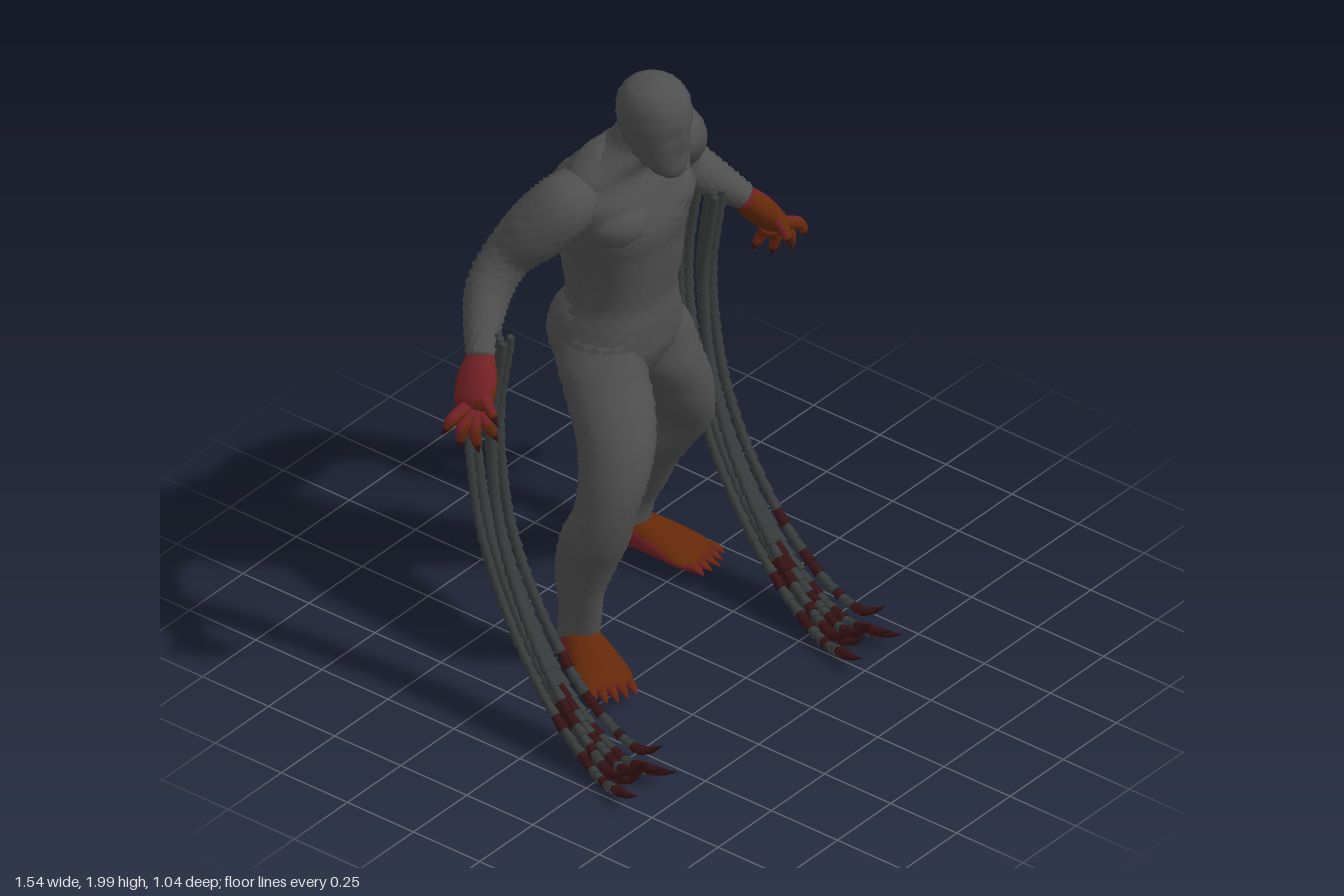
import * as THREE from 'three';
import { mergeGeometries } from 'three/addons/utils/BufferGeometryUtils.js';

const mat = (name, color) => {
  const m = new THREE.MeshStandardMaterial({ color });
  m.name = name;
  return m;
};
const V = (x, y, z) => new THREE.Vector3(x, y, z);
const bell = (v, centre, width) => Math.exp(-(((v - centre) / width) ** 2));

// Skin over rows of [x, y, z, halfWidth, halfDepth]; flat keeps the rings level.
function loft(rows, { flat = false, ref = V(0, 0, -1), sides = 30, step = 0.012, ridge = 0.006, shape, rule } = {}) {
  const path = new THREE.CatmullRomCurve3(rows.map(r => V(r[0], r[1], r[2])));
  const radii = new THREE.CatmullRomCurve3(rows.map(r => V(r[3], r[4], 0)));
  const n = Math.max(6, Math.round(path.getLength() / step));
  const pos = [], idx = [];
  for (let j = 0; j <= n; j++) {
    const t = j / n, c = path.getPoint(t), r = radii.getPoint(t);
    const up = flat ? V(0, 1, 0) : path.getTangent(t);
    const X = ref.clone().cross(up).normalize(), Z = X.clone().cross(up);
    for (let i = 0; i < sides; i++) {
      const a = i / sides * Math.PI * 2;
      const d = (j % 2 ? ridge : -ridge) * (0.55 + 0.45 * Math.sin(i * 3.1 + j * 1.7));
      const k = shape ? shape(a, c.y) : 1;
      const p = c.clone().addScaledVector(X, Math.cos(a) * (Math.max(r.x, 0.001) * k + d))
        .addScaledVector(Z, Math.sin(a) * (Math.max(r.y, 0.001) * k + d));
      pos.push(p.x, p.y, p.z);
    }
  }
  for (let j = 0; j < n; j++) for (let i = 0; i < sides; i++) {
    const a = j * sides + i, b = j * sides + (i + 1) % sides;
    idx.push(a, a + sides, b, b, a + sides, b + sides);
  }
  const first = rows[0], last = rows[rows.length - 1], c0 = pos.length / 3;
  pos.push(first[0], first[1], first[2], last[0], last[1], last[2]);
  for (let i = 0; i < sides; i++) {
    const k = (i + 1) % sides;
    idx.push(c0, i, k, c0 + 1, n * sides + k, n * sides + i);
  }
  const g = new THREE.BufferGeometry();
  g.setAttribute('position', new THREE.Float32BufferAttribute(pos, 3));
  g.setIndex(idx);
  g.computeVertexNormals();
  if (rule) { // split the faces between two materials by their direction
    const lists = [[], []], N = g.attributes.normal;
    for (let f = 0; f < idx.length; f += 3) {
      const nn = V(0, 0, 0);
      for (let k = 0; k < 3; k++) nn.add(V(0, 0, 0).fromBufferAttribute(N, idx[f + k]));
      lists[rule(nn.normalize()) ? 1 : 0].push(idx[f], idx[f + 1], idx[f + 2]);
    }
    g.setIndex([...lists[0], ...lists[1]]);
    g.addGroup(0, lists[0].length, 0);
    g.addGroup(lists[0].length, lists[1].length, 1);
  }
  return g;
}

export function createModel() {
  const root = new THREE.Group();
  root.name = 'figure';
  const skin = mat('charcoal skin', 0x4f4f4f);
  const red = mat('dull red', 0x732124);
  const rust = mat('rust brown', 0x632809);
  const steel = mat('strand grey', 0x383b3b);
  const blood = mat('dark red', 0x361315);
  const add = (name, geo, m, parent = root) => {
    const o = new THREE.Mesh(geo, m);
    o.name = name;
    parent.add(o);
    return o;
  };
  const muscle = (name, x, y, z, rx, ry, rz, tilt = 0) => {
    const rows = [-1, -0.85, -0.5, 0, 0.5, 0.85, 1].map(s => {
      const k = Math.sqrt(1 - s * s);
      return [0, s * ry, 0, rx * k, rz * k];
    });
    const o = add(name, loft(rows, { flat: true, sides: 24, ridge: 0.004 }), skin);
    o.position.set(x, y, z);
    o.rotation.z = tilt;
  };

  // Torso: square chest, tapering upper back, spine groove and chest line
  add('torso', loft([
    [0.01, 0.92, -0.23, 0.08, 0.09], [0.015, 0.97, -0.24, 0.18, 0.13], [0.015, 1.03, -0.25, 0.215, 0.16],
    [0.015, 1.12, -0.248, 0.19, 0.16], [0.018, 1.2, -0.238, 0.17, 0.145], [0.018, 1.3, -0.235, 0.18, 0.158],
    [0.005, 1.4, -0.235, 0.195, 0.172], [0, 1.45, -0.233, 0.207, 0.182], [0, 1.5, -0.235, 0.22, 0.187],
    [0, 1.6, -0.237, 0.25, 0.157], [0, 1.67, -0.222, 0.215, 0.115], [0, 1.72, -0.188, 0.155, 0.098],
    [0, 1.765, -0.155, 0.1, 0.085], [-0.005, 1.82, -0.125, 0.075, 0.072],
  ], {
    flat: true, sides: 44, shape: (a, y) => {
      const square = Math.sin(a) > 0 ? 0.07 : y > 1.35 ? -0.04 : 0.05;
      const sq = 1 + square * (1 - Math.cos(4 * a)) / 2;
      const back = bell(a, Math.PI * 1.5, 0.2), chest = bell(a, Math.PI * 0.5, 0.15);
      return sq - (y < 1.7 ? 0.07 * back : 0) - 0.04 * chest * bell(y, 1.52, 0.08);
    },
  }), skin);

  // Head with a narrow chin, slight nose and shallow eye hollows
  add('head', loft([
    [-0.015, 1.695, -0.015, 0.025, 0.022], [-0.015, 1.715, -0.033, 0.052, 0.052], [-0.012, 1.76, -0.072, 0.078, 0.096],
    [-0.01, 1.82, -0.086, 0.095, 0.112], [-0.008, 1.88, -0.09, 0.103, 0.119], [-0.006, 1.93, -0.093, 0.1, 0.112],
    [-0.006, 1.97, -0.094, 0.079, 0.085], [-0.006, 1.99, -0.094, 0.047, 0.052], [-0.006, 2.0, -0.094, 0.006, 0.006],
  ], {
    flat: true, sides: 40, ridge: 0.004, shape: (a, y) => {
      const off = Math.abs(a - Math.PI / 2);
      return 1 + 0.08 * bell(off, 0, 0.16) * bell(y, 1.825, 0.03) - 0.07 * bell(off, 0.4, 0.2) * bell(y, 1.848, 0.018)
        - 0.05 * bell(off, 0, 0.3) * bell(y, 1.77, 0.012);
    },
  }), skin);

  for (const s of [-1, 1]) {
    muscle('pectoral', s * 0.1, 1.525, -0.18, 0.125, 0.1, 0.125, s * 0.12);
    muscle('shoulderBlade', s * 0.08, 1.5, -0.32, 0.09, 0.15, 0.1, s * 0.12);
    muscle('trapezius', s * 0.11, 1.69, -0.215, 0.125, 0.055, 0.085, -s * 0.4);
    muscle('buttock', 0.015 + s * 0.085, 1.06, -0.285, 0.115, 0.16, 0.135);
  }

  // Legs: the right one steps forward, the left one trails
  add('rightLeg', loft([
    [-0.25, 0.1, -0.185, 0.05, 0.065], [-0.256, 0.2, -0.17, 0.048, 0.068], [-0.262, 0.3, -0.165, 0.054, 0.08],
    [-0.258, 0.39, -0.147, 0.072, 0.096], [-0.258, 0.5, -0.11, 0.093, 0.105], [-0.257, 0.6, -0.075, 0.085, 0.095],
    [-0.225, 0.7, -0.07, 0.097, 0.105], [-0.18, 0.8, -0.095, 0.113, 0.118], [-0.14, 0.9, -0.15, 0.125, 0.13],
    [-0.11, 1.0, -0.21, 0.125, 0.135], [-0.085, 1.1, -0.24, 0.09, 0.12],
  ], { flat: true }), skin);
  add('leftLeg', loft([
    [0.303, 0.09, -0.448, 0.058, 0.07], [0.31, 0.2, -0.428, 0.05, 0.068], [0.305, 0.3, -0.39, 0.056, 0.08],
    [0.29, 0.4, -0.35, 0.072, 0.092], [0.28, 0.5, -0.29, 0.092, 0.098], [0.278, 0.6, -0.22, 0.084, 0.096],
    [0.24, 0.7, -0.195, 0.098, 0.108], [0.205, 0.8, -0.195, 0.112, 0.12], [0.16, 0.9, -0.21, 0.125, 0.132],
    [0.14, 1.0, -0.235, 0.125, 0.138], [0.11, 1.1, -0.245, 0.09, 0.12],
  ], { flat: true }), skin);

  // Feet: rust above, red sides and soles, short claws on the toes
  const foot = (name, x, z, yaw) => {
    const g = new THREE.Group();
    g.name = name;
    g.position.set(x, 0, z);
    g.rotation.y = yaw;
    root.add(g);
    add('footBody', loft([
      [0, 0.078, -0.06, 0.028, 0.028], [0, 0.09, -0.03, 0.05, 0.045], [0, 0.1, 0.04, 0.062, 0.056],
      [0, 0.09, 0.12, 0.076, 0.046], [0, 0.073, 0.2, 0.086, 0.03], [0, 0.064, 0.25, 0.07, 0.018],
    ], { ref: V(0, 1, 0), ridge: 0, rule: n => n.y > 0.55 }), [red, rust], g);
    for (let i = -2; i <= 2; i++) {
      const tx = i * 0.029, reach = 0.305 - Math.abs(i) * 0.01;
      add('toe', loft([
        [tx, 0.066, 0.21, 0.018, 0.018], [tx * 1.1, 0.064, 0.262, 0.014, 0.014], [tx * 1.15, 0.052, reach, 0.002, 0.002],
      ], { ref: V(0, 1, 0), ridge: 0, sides: 8, rule: n => n.y > 0.55 }), [red, rust], g);
    }
  };
  foot('rightFoot', -0.245, -0.19, -0.48);
  foot('leftFoot', 0.305, -0.44, 0.2);

  // Arms with full shoulders, bent back at the elbow and spread outward
  add('rightArm', loft([
    [-0.17, 1.645, -0.23, 0.06, 0.08], [-0.245, 1.605, -0.245, 0.092, 0.1], [-0.3, 1.53, -0.3, 0.088, 0.097],
    [-0.35, 1.43, -0.37, 0.073, 0.074], [-0.415, 1.345, -0.385, 0.074, 0.07], [-0.49, 1.275, -0.35, 0.058, 0.058],
    [-0.565, 1.205, -0.3, 0.038, 0.04],
  ]), skin);
  add('leftArm', loft([
    [0.17, 1.645, -0.23, 0.06, 0.08], [0.255, 1.605, -0.24, 0.092, 0.1], [0.33, 1.53, -0.29, 0.09, 0.097],
    [0.4, 1.43, -0.36, 0.076, 0.074], [0.465, 1.35, -0.365, 0.074, 0.07], [0.53, 1.275, -0.3, 0.058, 0.058],
    [0.6, 1.2, -0.235, 0.038, 0.04],
  ]), skin);

  // Hands with curled fingers ending in dark claws
  const hand = (name, wrist, palm, tips, rule) => {
    const g = new THREE.Group();
    g.name = name;
    root.add(g);
    const w = V(...wrist), p = V(...palm), mid = w.clone().lerp(p, 0.55);
    add('palm', loft([
      [...w, 0.037, 0.042], [...mid, 0.045, 0.066], [...p, 0.038, 0.066], [...p.clone().lerp(w, -0.2), 0.02, 0.048],
    ], { ridge: 0, sides: 16, rule }), [rust, red], g);
    tips.forEach((q, i) => {
      const tip = V(...q);
      const base = i === 4 ? mid.clone() : p.clone().lerp(tip, 0.2);
      const bend = base.clone().lerp(tip, 0.5).add(V(Math.sign(w.x) * 0.016, 0.016, 0.004));
      const claw = bend.clone().lerp(tip, 0.6);
      add('finger', loft([
        [...base, 0.024, 0.024], [...bend, 0.02, 0.02], [...claw, 0.014, 0.014],
      ], { ridge: 0, sides: 8, rule }), [rust, red], g);
      add('claw', loft([[...claw, 0.012, 0.012], [...tip, 0.002, 0.002]], { ridge: 0, sides: 6 }), blood, g);
    });
  };
  hand('rightHand', [-0.555, 1.215, -0.305], [-0.638, 1.11, -0.265],
    [[-0.75, 1.035, -0.295], [-0.72, 0.985, -0.255], [-0.67, 0.96, -0.22], [-0.605, 0.975, -0.2], [-0.645, 1.06, -0.165]],
    n => n.y > 0.35 || n.z < 0.35);
  hand('leftHand', [0.59, 1.21, -0.24], [0.67, 1.1, -0.19],
    [[0.765, 1.02, -0.13], [0.735, 0.965, -0.165], [0.69, 0.955, -0.21], [0.65, 0.975, -0.255], [0.63, 1.06, -0.075]],
    n => n.y > -0.1 && n.z < 0.5 && n.z > -0.35);

  // Bundles of jointed strands falling from the forearms and sweeping forward
  const fall = [[1.27, -0.3], [1, -0.335], [0.8, -0.315], [0.6, -0.26], [0.4, -0.15], [0.2, 0.04], [0.085, 0.22], [0.05, 0.33], [0.065, 0.42]];
  const bundle = (name, xs, endShift) => {
    const spine = new THREE.CatmullRomCurve3(fall.map(([y, z], i) => V(xs[i], y, z + endShift * (i / 8) ** 2)));
    const parts = { grey: [], dark: [] };
    const strands = 8, joints = 36;
    for (let k = 0; k < strands; k++) {
      const u = (k % 4 - 1.5) / 1.5 + (k > 3 ? 0.15 : -0.15), v = k > 3 ? 1 : -1;
      const reach = 0.94 + 0.06 * Math.sin(k * 2.3 + 1);
      const at = s => {
        const t = s * reach, c = spine.getPoint(t), d = spine.getTangent(t);
        const nrm = V(0, d.z, -d.y).normalize();
        const across = 0.021 + 0.058 * s ** 2.5, deep = 0.05 * (1 - 0.65 * s);
        c.x += u * across;
        return c.addScaledVector(nrm, deep * (v * 0.75 + 0.45 * Math.sin(k * 1.9)));
      };
      const piece = (a, b, r0, r1) => {
        const d = b.clone().sub(a), g = new THREE.CylinderGeometry(r1, r0, d.length() * 1.08, 6);
        g.applyQuaternion(new THREE.Quaternion().setFromUnitVectors(V(0, 1, 0), d.clone().normalize()));
        return g.translate((a.x + b.x) / 2, (a.y + b.y) / 2, (a.z + b.z) / 2);
      };
      for (let j = 0; j < joints; j++) {
        const dark = j > 33 || (j > 23 && (j * 5 + k * 3) % 7 < 3);
        (dark ? parts.dark : parts.grey).push(piece(at(j / joints), at((j + 1) / joints), 0.012, 0.018));
      }
      // Hooked claw at the strand's end
      const e = at(1), up = 0.015 + 0.03 * (k % 3) / 2;
      const m = e.clone().add(V(u * 0.006, up * 0.4, 0.035)), tip = m.clone().add(V(u * 0.004, up, 0.04));
      parts.dark.push(piece(e, m, 0.016, 0.011), piece(m, tip, 0.011, 0.001));
    }
    const g = new THREE.Group();
    g.name = name;
    root.add(g);
    add('strandJoints', mergeGeometries(parts.grey), steel, g);
    add('strandTips', mergeGeometries(parts.dark), blood, g);
  };
  bundle('leftStrands', [0.485, 0.485, 0.475, 0.458, 0.43, 0.385, 0.35, 0.335, 0.325], 0.02);
  bundle('rightStrands', [-0.51, -0.51, -0.52, -0.537, -0.56, -0.605, -0.635, -0.65, -0.66], -0.04);
  return root;
}
